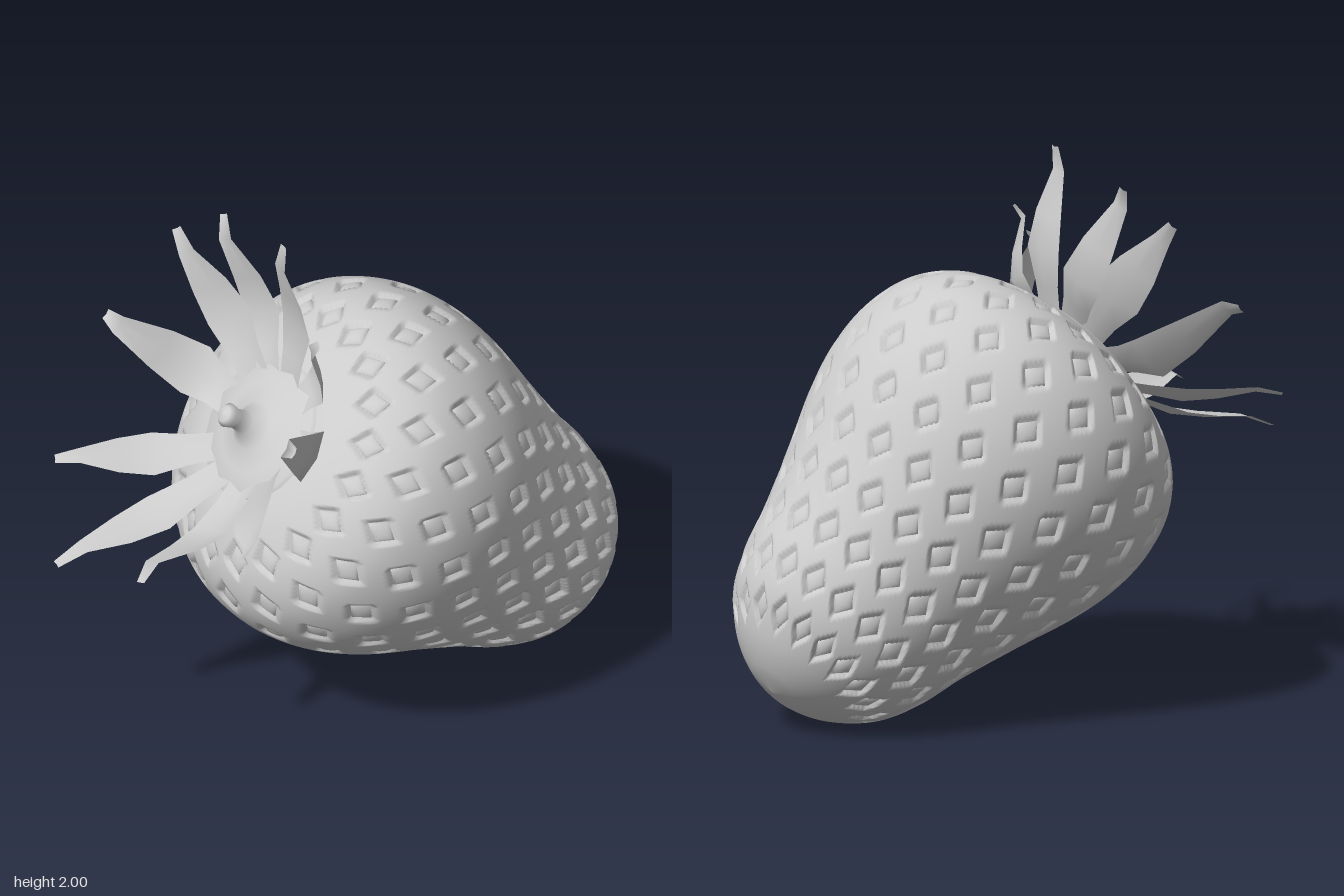
import * as THREE from 'three';
import { mergeGeometries, mergeVertices } from 'three/addons/utils/BufferGeometryUtils.js';

const V = (x, y, z) => new THREE.Vector3(x, y, z);
const CENTER = V(0.16, 0.82, -0.14);             // widest part of the fruit
const UP = V(-0.61, 0.63, 0.48).normalize();     // fruit axis, tip to stem
const COLUMNS = 19;
const LENGTH_STEPS = 170, ROUND_STEPS = 323;

const grey = (extra = {}) => new THREE.MeshStandardMaterial({ color: 0xcccccc, ...extra });

// Fruit profile (radius, height along the axis) from tip to dimple
const profile = new THREE.SplineCurve([
  [0, -1.07], [0.12, -1.045], [0.24, -0.98], [0.355, -0.865], [0.425, -0.72], [0.475, -0.54],
  [0.55, -0.32], [0.63, -0.1], [0.672, 0.08], [0.675, 0.25], [0.63, 0.41], [0.53, 0.53],
  [0.38, 0.61], [0.25, 0.64], [0.12, 0.64], [0, 0.61],
].map(([r, y]) => new THREE.Vector2(r, y)));
const arc = profile.getLength();

// Staggered rows of seeds, each at a distance s along the profile
const rows = [];
for (let i = 0; i < 10; i++) {
  const s = 0.36 + i * 0.18;
  const p = profile.getPointAt(s / arc);
  const tangent = profile.getTangentAt(s / arc);
  rows.push({
    s, p, tangent, shift: (i % 2) * 0.5,
    a: Math.min(0.058, p.x * 0.125),   // half width
    b: 0.07,                           // half length
  });
}

// Lathe with a diamond-shaped pit pressed in at every seed
function fruitGeometry() {
  const pts = profile.getSpacedPoints(LENGTH_STEPS);
  pts[0].x = pts[LENGTH_STEPS].x = 0;
  const geo = new THREE.LatheGeometry(pts, ROUND_STEPS);
  const pos = geo.attributes.position, nor = geo.attributes.normal;
  const step = (Math.PI * 2) / COLUMNS;
  for (let k = 0; k < pos.count; k++) {
    const j = k % (LENGTH_STEPS + 1);
    const phi = (Math.floor(k / (LENGTH_STEPS + 1)) % ROUND_STEPS) / ROUND_STEPS * Math.PI * 2;
    const s = (j / LENGTH_STEPS) * arc;
    let push = 0;
    for (const row of rows) {
      const ds = Math.abs(s - row.s);
      if (ds > 0.1) continue;
      const c = phi / step - row.shift;
      const dx = Math.abs(c - Math.round(c)) * step * pts[j].x;
      const q = dx / row.a + ds / row.b;
      push = Math.max(push, 0.02 * (1 - THREE.MathUtils.smoothstep(q, 0.85, 1.1)));
    }
    pos.setXYZ(k, pos.getX(k) - nor.getX(k) * push,
      pos.getY(k) - nor.getY(k) * push, pos.getZ(k) - nor.getZ(k) * push);
  }
  geo.deleteAttribute('uv');
  geo.deleteAttribute('normal');
  const welded = mergeVertices(geo, 1e-5);
  welded.computeVertexNormals();
  return welded;
}

// Four-sided domed seeds resting in the pits
function seedGeometry() {
  const parts = [];
  for (const row of rows) {
    for (let c = 0; c < COLUMNS; c++) {
      const phi = ((c + row.shift) / COLUMNS) * Math.PI * 2;
      const out = V(Math.sin(phi), 0, Math.cos(phi));
      const side = V(Math.cos(phi), 0, -Math.sin(phi));
      const along = out.clone().multiplyScalar(row.tangent.x).setY(row.tangent.y).normalize();
      const normal = side.clone().cross(along).normalize();
      const at = out.clone().multiplyScalar(row.p.x).setY(row.p.y).addScaledVector(normal, -0.024);
      const dome = new THREE.SphereGeometry(1, 4, 4, 0, Math.PI * 2, 0, Math.PI / 2);
      dome.rotateX(Math.PI / 2).scale(row.a * 0.84, row.b * 0.84, 0.02);
      dome.applyMatrix4(new THREE.Matrix4().makeBasis(side, along, normal).setPosition(at));
      parts.push(dome);
    }
  }
  return mergeGeometries(parts);
}

// Sepal: folded strip from the calyx rim out to its tip
function sepalGeometry(tip, bend, width) {
  const root = CENTER.clone().addScaledVector(UP, 0.66);
  const rel = tip.clone().sub(root);
  const lift = rel.dot(UP);
  const radial = rel.addScaledVector(UP, -lift);
  const reach = radial.length();
  radial.normalize();
  const side = UP.clone().cross(radial);
  // fraction of the way out, bend share, width share
  const sections = [[0, 0, 0.65], [0.18, 0.45, 0.72], [0.42, 1, 1], [0.62, 0.5, 0.8], [0.82, -0.5, 0.36], [1, 0, 0.2]];
  const verts = [], index = [];
  sections.forEach(([f, share, w], i) => {
    const mid = root.clone()
      .addScaledVector(radial, 0.21 + (reach - 0.21) * f)
      .addScaledVector(UP, lift * f + bend * share);
    for (const e of [-1, 0, 1]) {
      const p = mid.clone().addScaledVector(side, e * w * width / 2)
        .addScaledVector(UP, e === 0 ? -0.12 * w * width : 0);
      verts.push(p.x, p.y, p.z);
    }
    if (i) for (const e of [0, 1]) {
      const a = (i - 1) * 3 + e, b = a + 3;
      index.push(a, b, a + 1, a + 1, b, b + 1);
    }
  });
  const geo = new THREE.BufferGeometry();
  geo.setAttribute('position', new THREE.Float32BufferAttribute(verts, 3));
  geo.setIndex(index);
  geo.computeVertexNormals();
  return geo;
}

export function createModel() {
  const model = new THREE.Group();
  model.name = 'strawberry';
  const add = (parent, name, geo, mat) => {
    const mesh = new THREE.Mesh(geo, mat);
    mesh.name = name;
    parent.add(mesh);
  };

  // Fruit, tilted onto its side
  const fruit = new THREE.Group();
  fruit.name = 'fruit';
  fruit.position.copy(CENTER);
  fruit.quaternion.setFromUnitVectors(V(0, 1, 0), UP);
  model.add(fruit);
  add(fruit, 'flesh', fruitGeometry(), grey());
  add(fruit, 'seeds', seedGeometry(), grey());

  // Calyx cap running up into the short stem
  const cap = [[0.28, 0.61], [0.26, 0.655], [0.17, 0.665], [0.09, 0.69], [0.045, 0.73],
    [0.035, 0.78], [0.045, 0.82], [0.03, 0.84], [0, 0.845]].map(([r, y]) => new THREE.Vector2(r, y));
  add(fruit, 'calyxAndStem', new THREE.LatheGeometry(cap.reverse(), 24), grey({ side: THREE.DoubleSide }));

  // Ten sepals: tip position, bend, width
  const sepals = new THREE.Group();
  sepals.name = 'sepals';
  model.add(sepals);
  [
    [-0.16, 2.0, 0.1, -0.05, 0.19], [-0.42, 1.91, -0.18, -0.07, 0.17],
    [-0.6, 1.79, -0.23, -0.04, 0.2], [-0.84, 1.46, -0.12, -0.1, 0.2],
    [-0.97, 1.06, 0.24, -0.03, 0.17], [-0.91, 0.86, 0.6, -0.03, 0.19],
    [-0.57, 0.98, 0.82, -0.07, 0.19], [-0.19, 1.17, 0.87, 0.03, 0.19],
    [-0.03, 1.53, 0.7, -0.1, 0.2], [0, 1.73, 0.31, -0.06, 0.18],
  ].forEach(([x, y, z, bend, width], i) => {
    add(sepals, `sepal${i + 1}`, sepalGeometry(V(x, y, z), bend, width),
      grey({ side: THREE.DoubleSide }));
  });
  return model;
}
